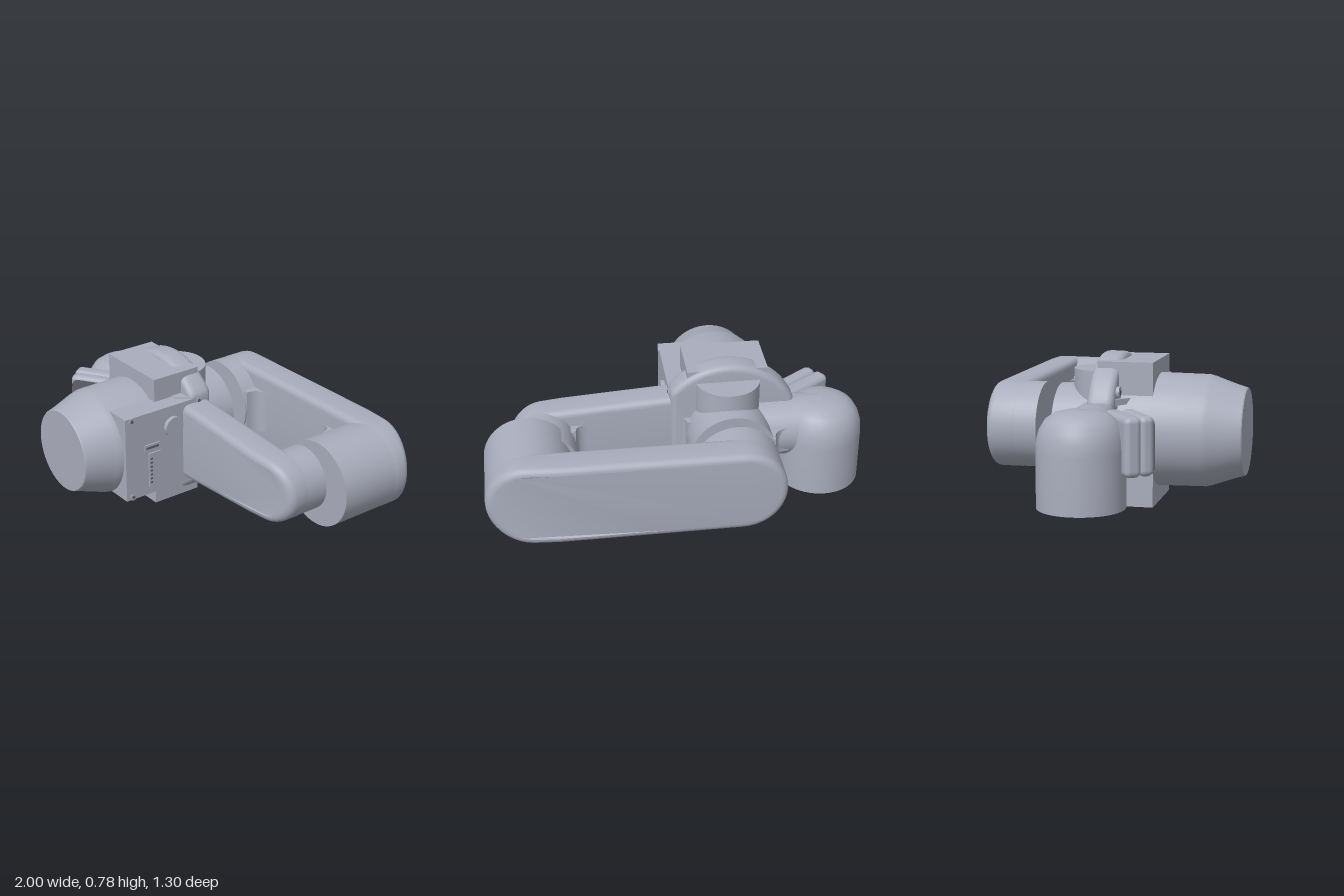
import * as THREE from 'three';
import { toCreasedNormals } from 'three/addons/utils/BufferGeometryUtils.js';
import { RoundedBoxGeometry } from 'three/addons/geometries/RoundedBoxGeometry.js';

const AX = -0.28, CY = 0.395; // main joint axis (runs along z)

export function createModel() {
  const model = new THREE.Group();
  const grey = new THREE.MeshStandardMaterial({ color: 0xa9adbc });
  grey.name = 'body grey';
  const dark = new THREE.MeshStandardMaterial({ color: 0x606168 });
  dark.name = 'dark grey';

  const add = (name, geo, x = 0, y = 0, z = 0, mat = grey, parent = model) => {
    const m = new THREE.Mesh(geo, mat);
    m.name = name;
    m.position.set(x, y, z);
    parent.add(m);
    return m;
  };
  const box = (name, x0, x1, y0, y1, z0, z1, mat) =>
    add(name, new THREE.BoxGeometry(x1 - x0, y1 - y0, z1 - z0), (x0 + x1) / 2, (y0 + y1) / 2, (z0 + z1) / 2, mat);
  // Cylinder along z between two depths
  const cylZ = (name, x, y, r, z0, z1, seg = 48) =>
    add(name, new THREE.CylinderGeometry(r, r, z1 - z0, seg).rotateX(Math.PI / 2), x, y, (z0 + z1) / 2);
  // Outline drawn in x and z, raised along y
  const prismY = (name, pts, y, h) => {
    const s = new THREE.Shape(pts.map(([x, z]) => new THREE.Vector2(x, -z)));
    const g = new THREE.ExtrudeGeometry(s, { depth: h, bevelEnabled: false }).rotateX(-Math.PI / 2);
    return add(name, toCreasedNormals(g, 0.6), 0, y - h / 2, 0);
  };
  // Concave fillet in the corner between two parts
  const fillet = (name, x, z, dx, dz, r, h) => {
    const e = 0.06, pts = [[-e, -e], [r, -e]];
    for (let i = 0; i <= 8; i++) {
      const t = i / 8;
      pts.push([r * (1 - t) ** 2, r * t * t]);
    }
    pts.push([-e, r]);
    prismY(name, pts.map(([a, b]) => [x + a * dx, z + b * dz]), CY, h);
  };
  // Rounded link: hull of two circles, extruded in z; rule(x, z) gives the new z
  const link = (name, x1, r1, x2, r2, z0, z1, bevel, rule) => {
    const a = Math.acos((r1 - r2) / (x2 - x1)), pts = [], n = 20;
    const arc = (x, r, from, to) => {
      for (let i = 0; i <= n; i++) {
        const t = from + (to - from) * i / n;
        pts.push(new THREE.Vector2(x + r * Math.cos(t), CY + r * Math.sin(t)));
      }
    };
    const straight = (sign) => {
      for (let i = 1; i < 8; i++) {
        const t = sign > 0 ? i / 8 : 1 - i / 8, r = r2 + (r1 - r2) * t;
        pts.push(new THREE.Vector2(x2 + (x1 - x2) * t + r * Math.cos(a), CY + sign * r * Math.sin(a)));
      }
    };
    arc(x2, r2, -a, a);
    straight(1);
    arc(x1, r1, a, 2 * Math.PI - a);
    straight(-1);
    const g = new THREE.ExtrudeGeometry(new THREE.Shape(pts), {
      depth: z1 - z0 - 2 * bevel, bevelThickness: bevel, bevelSize: bevel, bevelOffset: -bevel, bevelSegments: 5,
    }).translate(0, 0, z0 + bevel);
    const p = g.attributes.position;
    for (let i = 0; i < p.count; i++) p.setZ(i, rule(p.getX(i), p.getZ(i)));
    add(name, toCreasedNormals(g, 0.6));
  };

  // Tapered base housing
  const profile = [[0, 0.65], [0.218, 0.65], [0.222, 0.645], [0.235, 0.6], [0.275, 0.485], [0.283, 0.455], [0.287, 0.2], [0.287, -0.05], [0, -0.05]];
  const housing = new THREE.LatheGeometry(profile.reverse().map(([r, z]) => new THREE.Vector2(r, z)), 64).rotateX(Math.PI / 2);
  add('baseHousing', toCreasedNormals(housing, 0.35), AX, CY, 0);

  // Mounting block and round flange cut flat at its sides
  box('mountingBlock', -0.49, -0.07, 0.03, 0.755, -0.07, 0.21);
  const rim = [];
  for (let i = 0; i < 96; i++) {
    const t = i / 96 * Math.PI * 2;
    rim.push(new THREE.Vector2(THREE.MathUtils.clamp(AX + 0.39 * Math.cos(t), -0.63, 0.02), CY + 0.39 * Math.sin(t)));
  }
  const flange = new THREE.ExtrudeGeometry(new THREE.Shape(rim), {
    depth: 0.065, bevelThickness: 0.035, bevelSize: 0.03, bevelOffset: -0.03, bevelSegments: 4,
  });
  add('mountingFlange', toCreasedNormals(flange, 0.5), 0, 0, -0.06);
  const boss = new THREE.CylinderGeometry(0.168, 0.168, 0.61, 40);
  add('rearBoss', boss, AX, CY, -0.07);
  for (const s of [1, -1]) {
    const y = CY + s * 0.215;
    prismY('flangeGusset', [[-0.62, -0.07], [-0.62, 0.01], [-0.5, 0.1], [-0.45, 0.1], [-0.45, -0.07]], CY + s * 0.17, 0.03);
    prismY('flangeGusset', [[0.02, -0.07], [-0.08, -0.07], [-0.08, 0.1], [-0.04, 0.1], [0.02, 0.02]], CY + s * 0.225, 0.03);
    cylZ('flangeBolt', -0.535, y, 0.03, 0, 0.055, 20);
    add('boltRecess', new THREE.CylinderGeometry(0.014, 0.014, 0.004, 6).rotateX(Math.PI / 2), -0.535, y, 0.056, dark);
  }

  // Connector panel on the side
  box('connectorBox', -0.12, 0.02, 0.16, 0.63, -0.04, 0.455);
  const studX = (name, r, h, y, z, mat = grey) =>
    add(name, new THREE.CylinderGeometry(r, r, h, 20).rotateZ(Math.PI / 2), 0.02 + h / 2, y, z, mat);
  for (const y of [0.175, 0.612]) for (const z of [0.415, -0.01]) {
    studX('panelScrew', 0.019, 0.004, y, z);
    studX('screwSocket', 0.009, 0.006, y, z, dark);
  }
  studX('panelKnob', 0.055, 0.022, 0.515, 0.16);
  box('smallPort', 0.02, 0.027, 0.415, 0.452, 0.245, 0.34);
  box('smallPortSlot', 0.02, 0.029, 0.428, 0.44, 0.255, 0.33, dark);
  box('terminalStrip', 0.02, 0.028, 0.205, 0.4, 0.24, 0.315);
  for (let i = 0; i < 7; i++) box('terminalPin', 0.02, 0.03, 0.225 + i * 0.023, 0.235 + i * 0.023, 0.295, 0.308, dark);

  // Shoulder joint with bent side branch
  cylZ('shoulderJoint', AX, CY, 0.22, -0.31, 0.05);
  add('sideBranch', new THREE.CylinderGeometry(0.16, 0.16, 0.5, 40).rotateZ(Math.PI / 2), -0.53, 0.4, -0.07);
  fillet('branchFillet', -0.5, -0.215, -1, -1, 0.09, 0.14);
  const elbow = [[0, 0.085], [0.217, 0.085], [0.217, 0.36], [0.213, 0.42], [0.198, 0.47], [0.17, 0.515], [0.13, 0.542], [0.08, 0.555], [0, 0.558]];
  const elbowGeo = new THREE.LatheGeometry(elbow.map(([r, y]) => new THREE.Vector2(r, y)), 48);
  add('sideElbow', toCreasedNormals(elbowGeo, 0.6), -0.782, 0, -0.08);

  // Front link with its wrist joint
  link('frontLink', AX, 0.23, 0.683, 0.168, -0.08, 0.092, 0.035,
    (x, z) => (z > 0 && x > 0.58 ? z - 0.045 * ((x - 0.58) / 0.27) ** 2 : z));
  cylZ('wristJoint', 0.683, CY, 0.167, -0.285, 0.02);
  fillet('frontLinkFillet', -0.062, -0.08, 1, -1, 0.06, 0.2);
  fillet('frontLinkFillet', 0.518, -0.08, -1, -1, 0.06, 0.18);

  // Rear link with its two end joints
  link('rearLink', AX, 0.222, 0.77, 0.226, -0.655, -0.48, 0.035,
    (x, z) => (z < -0.57 && x > 0.6 ? z + 0.055 * ((x - 0.6) / 0.395) ** 2 : z));
  cylZ('rearLinkInnerJoint', AX, CY, 0.221, -0.56, -0.39);
  cylZ('rearLinkOuterJoint', 0.77, CY, 0.225, -0.56, -0.175);
  fillet('rearLinkFillet', -0.06, -0.48, 1, 1, 0.08, 0.24);
  fillet('rearLinkFillet', 0.547, -0.48, -1, 1, 0.08, 0.24);

  // Angled end module with dark front face
  const tool = new THREE.Group();
  tool.name = 'endModule';
  tool.position.set(-0.71, CY, 0.14);
  tool.rotation.y = 0.6;
  model.add(tool);
  add('moduleBack', new RoundedBoxGeometry(0.3, 0.29, 0.085, 3, 0.03), 0, 0, -0.035, grey, tool);
  add('moduleFront', new RoundedBoxGeometry(0.28, 0.29, 0.075, 3, 0.03), 0, 0, 0.04, grey, tool);
  const half = 0.125, face = new THREE.Shape();
  face.moveTo(-half + 0.03, -half);
  for (const [cx, cy, t] of [[1, -1, -0.5], [1, 1, 0], [-1, 1, 0.5], [-1, -1, 1]])
    face.absarc(cx * (half - 0.03), cy * (half - 0.03), 0.03, t * Math.PI, (t + 0.5) * Math.PI, false);
  add('moduleFace', new THREE.ExtrudeGeometry(face, { depth: 0.006, bevelEnabled: false }), 0, 0, 0.075, dark, tool);
  box('modulePlug', -0.64, -0.585, 0.34, 0.45, 0.06, 0.22);

  return model;
}
